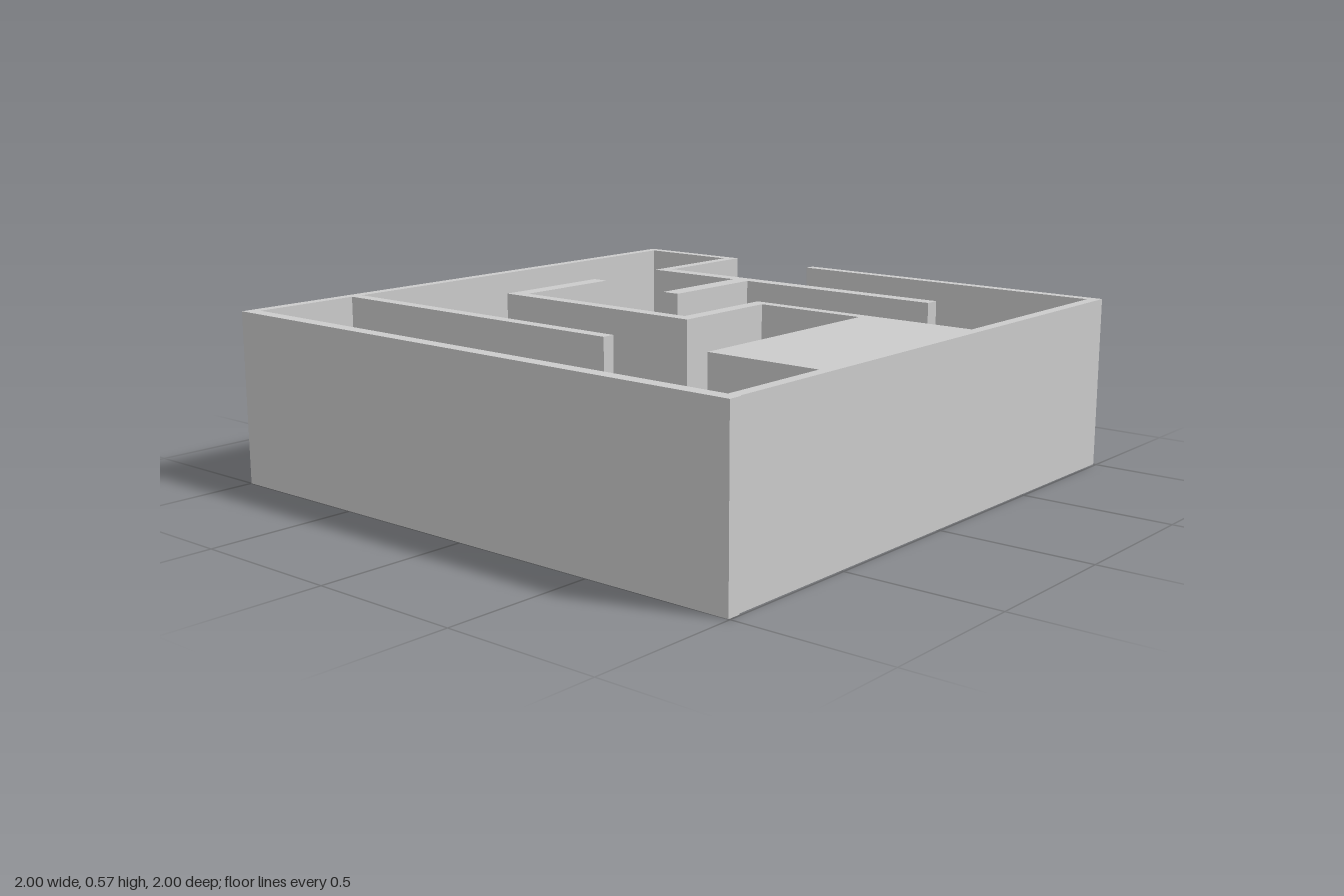
import * as THREE from 'three';

const HEIGHT = 0.57;
const FLOOR = 0.1;

export function createModel() {
  const model = new THREE.Group();
  const material = new THREE.MeshStandardMaterial({ color: 0xcccccc, flatShading: true });

  // Rectangle as a closed path; z is negated so the extrusion can be laid flat
  const rect = (path, [x0, x1, z0, z1]) => {
    path.moveTo(x0, -z0);
    path.lineTo(x0, -z1);
    path.lineTo(x1, -z1);
    path.lineTo(x1, -z0);
    path.closePath();
    return path;
  };

  // Floor slab with three square openings
  const slab = rect(new THREE.Shape(), [-1, 0.99, -1, 1]);
  const openings = [
    [-0.963, -0.6, -0.963, -0.58],
    [0.187, 0.57, -0.182, 0.187],
    [0.565, 0.953, 0.567, 0.955],
  ];
  openings.forEach((o) => slab.holes.push(rect(new THREE.Path(), o)));
  const floorGeometry = new THREE.ExtrudeGeometry(slab, { depth: FLOOR, bevelEnabled: false });
  floorGeometry.rotateX(-Math.PI / 2);
  const floor = new THREE.Mesh(floorGeometry, material);
  floor.name = 'floor';
  model.add(floor);

  // Walls stand on the floor, given as x and z extents
  const wall = (name, x0, x1, z0, z1, y0 = FLOOR) => {
    const mesh = new THREE.Mesh(new THREE.BoxGeometry(x1 - x0, HEIGHT - y0, z1 - z0), material);
    mesh.position.set((x0 + x1) / 2, (HEIGHT + y0) / 2, (z0 + z1) / 2);
    mesh.name = name;
    model.add(mesh);
  };

  // Outer walls, with a doorway at the back
  wall('frontWall', -1, 0.995, 0.955, 1, 0);
  wall('rightWall', -1, -0.963, -0.963, 0.955);
  wall('leftWall', 0.953, 0.99, -0.963, 0.955);
  wall('backWallRight', -1, -0.56, -1, -0.963);
  wall('backWallLeft', -0.2, 0.99, -1, -0.963);

  // T-shaped partition beside the doorway
  wall('doorwayPartition', -0.6, -0.56, -0.963, -0.555);
  wall('crossPartition', -0.56, 0.59, -0.605, -0.555);
  wall('stubPartition', -0.23, -0.165, -0.555, -0.17);

  // Stepped partition around the middle
  wall('hookEnd', -0.612, -0.555, -0.235, 0.2);
  wall('hookBase', -0.555, 0.187, 0.155, 0.2);
  wall('hookSide', 0.14, 0.187, -0.22, 0.155);
  wall('middlePartition', 0.187, 0.57, -0.22, -0.182);

  // Front divider and the solid full-height block
  wall('frontDivider', -0.963, 0.19, 0.543, 0.585);
  wall('solidBlock', 0.57, 0.953, -0.22, 0.567);

  return model;
}
